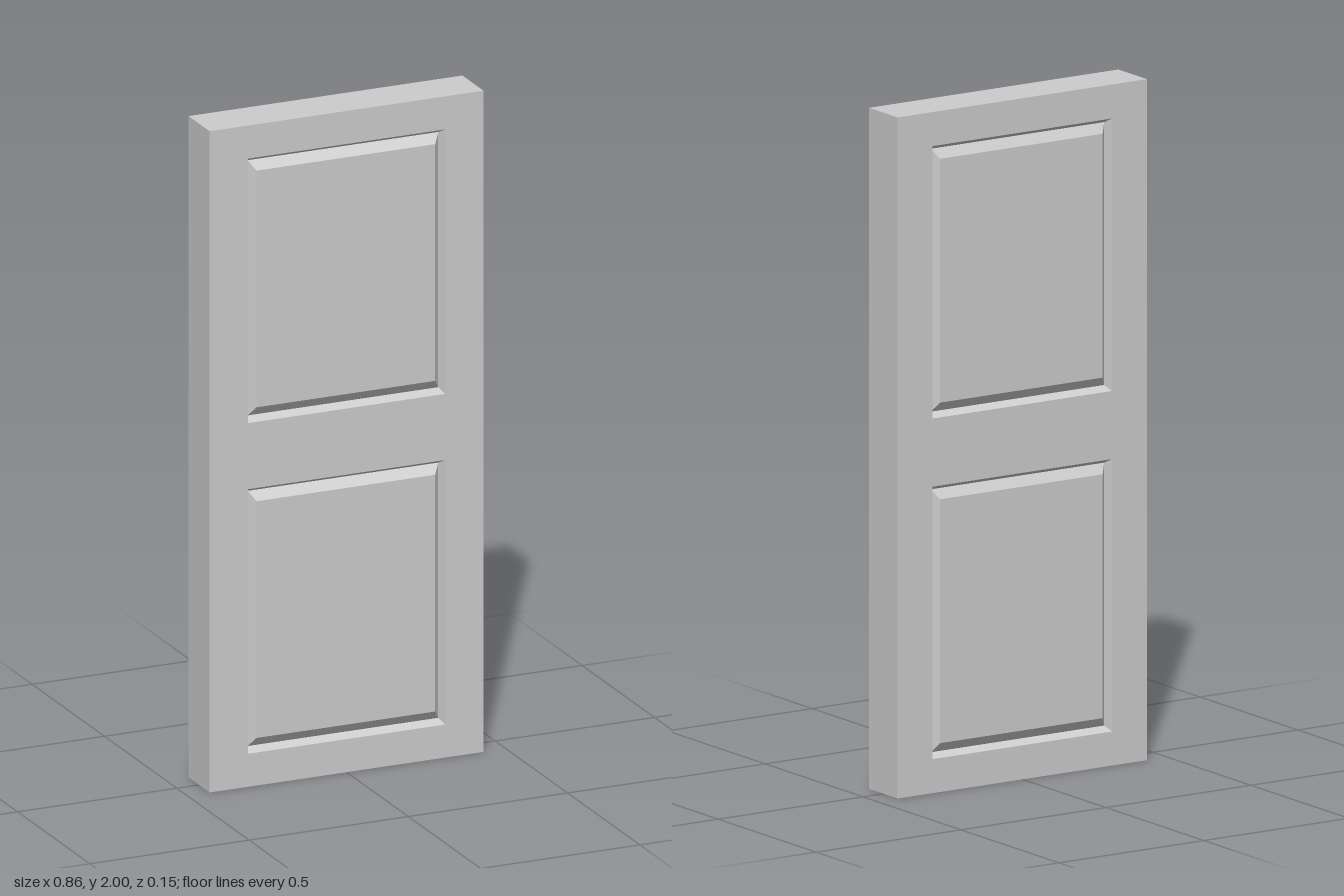
import * as THREE from 'three';

const W = 0.43, H = 1, T = 0.073;      // half width, half height, half thickness
const PW = 0.31, PH = 0.4;             // half size of a panel opening
const PANEL_Y = [0.5, 1.5];            // panel centre heights

const material = new THREE.MeshStandardMaterial({ color: 0xcccccc, flatShading: true });

// Joins nested rectangles [halfWidth, halfHeight, z] with quads; can close the last one.
function rectLoft(rings, capped) {
  const loops = rings.map(([w, h, z]) => [[-w, -h, z], [w, -h, z], [w, h, z], [-w, h, z]]);
  const pos = [];
  const quad = (a, b, c, d) => pos.push(...a, ...b, ...c, ...a, ...c, ...d);
  for (let i = 0; i < loops.length - 1; i++) {
    for (let k = 0; k < 4; k++) {
      const n = (k + 1) % 4;
      quad(loops[i][k], loops[i][n], loops[i + 1][n], loops[i + 1][k]);
    }
  }
  if (capped) quad(...loops[loops.length - 1]);
  const geo = new THREE.BufferGeometry();
  geo.setAttribute('position', new THREE.Float32BufferAttribute(pos, 3));
  geo.computeVertexNormals();
  return geo;
}

function rectPath(path, w, h, y) {
  path.moveTo(-w, y - h);
  path.lineTo(w, y - h);
  path.lineTo(w, y + h);
  path.lineTo(-w, y + h);
  path.closePath();
  return path;
}

function addMesh(parent, name, geometry, y = 0, z = 0) {
  const mesh = new THREE.Mesh(geometry, material);
  mesh.name = name;
  mesh.position.set(0, y, z);
  parent.add(mesh);
}

export function createModel() {
  const door = new THREE.Group();
  door.name = 'door';

  // Outer edges of the slab
  addMesh(door, 'slabEdges', rectLoft([[W, H, -T], [W, H, T]], false), H);

  // Flat stiles and rails around the two openings
  const frame = rectPath(new THREE.Shape(), W, H, H);
  for (const y of PANEL_Y) frame.holes.push(rectPath(new THREE.Path(), PW, PH, y));
  const frameGeo = new THREE.ShapeGeometry(frame);

  // Panel: steep moulding into a groove, then a bevel up to the raised field
  const panelGeo = rectLoft([
    [PW, PH, T],
    [PW * 0.965, PH * 0.965, T - 0.025],
    [PW * 0.905, PH * 0.895, T - 0.005],
  ], true);

  // The same face on both sides
  ['front', 'back'].forEach((side, i) => {
    const face = new THREE.Group();
    face.name = side + 'Face';
    face.rotation.y = i * Math.PI;
    addMesh(face, side + 'StilesAndRails', frameGeo, 0, T);
    addMesh(face, side + 'LowerPanel', panelGeo, PANEL_Y[0]);
    addMesh(face, side + 'UpperPanel', panelGeo, PANEL_Y[1]);
    door.add(face);
  });

  return door;
}
